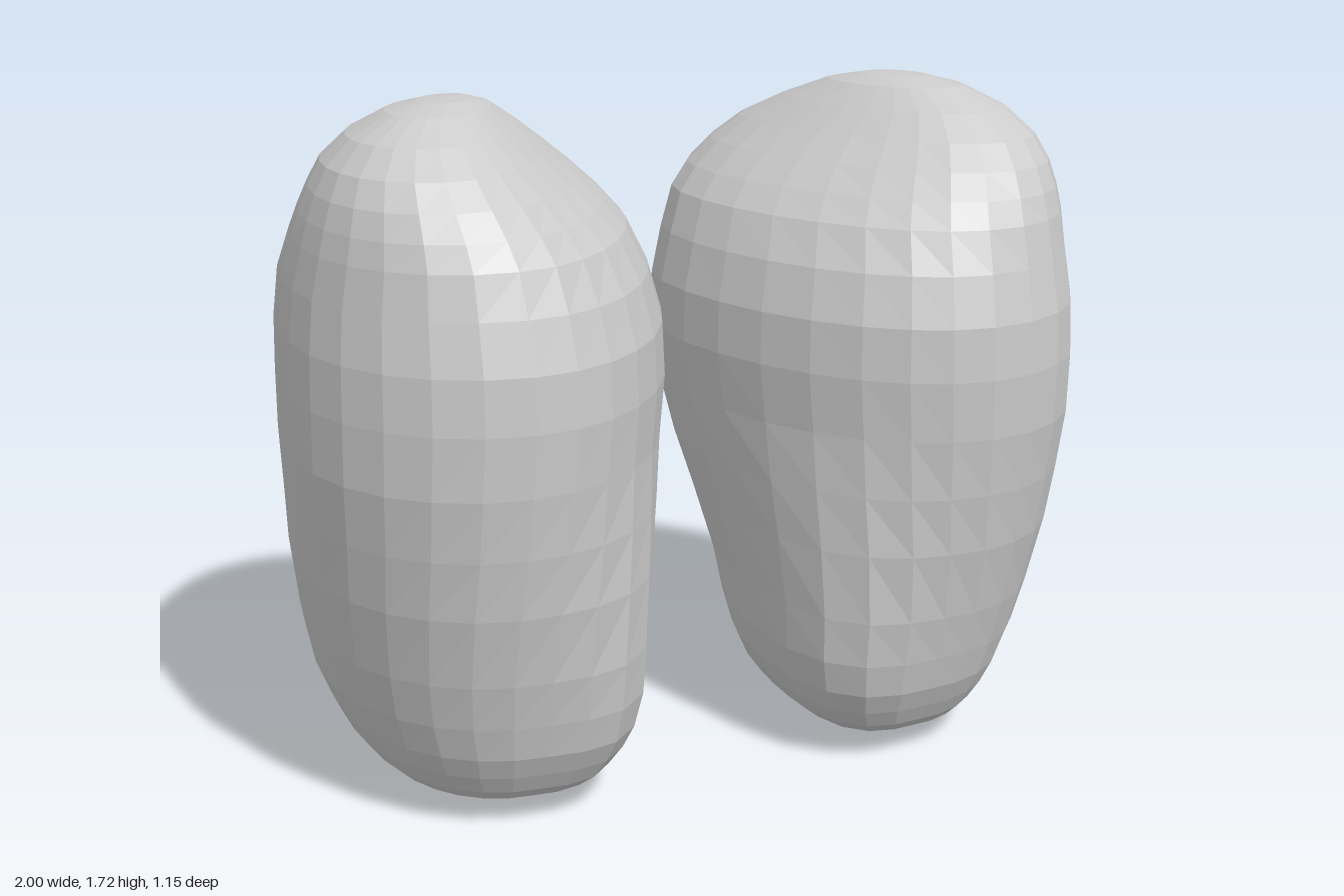
import * as THREE from 'three';

// Horizontal sections of one lobe: [height, inner x, outer x, back z, front z]
const SECTIONS = [
  [0.00, 0.52, 0.56, -0.02, 0.02],
  [0.015, 0.42, 0.67, -0.14, 0.16],
  [0.04, 0.36, 0.74, -0.24, 0.27],
  [0.068, 0.31, 0.79, -0.31, 0.33],
  [0.10, 0.27, 0.825, -0.365, 0.365],
  [0.15, 0.235, 0.865, -0.42, 0.395],
  [0.21, 0.21, 0.895, -0.46, 0.425],
  [0.30, 0.185, 0.93, -0.485, 0.45],
  [0.42, 0.165, 0.955, -0.505, 0.48],
  [0.60, 0.12, 0.98, -0.53, 0.52],
  [0.75, 0.08, 0.99, -0.545, 0.545],
  [0.90, 0.05, 1.00, -0.56, 0.565],
  [1.05, 0.03, 1.00, -0.57, 0.575],
  [1.18, 0.035, 0.995, -0.575, 0.57],
  [1.30, 0.065, 0.98, -0.57, 0.54],
  [1.40, 0.105, 0.96, -0.555, 0.505],
  [1.46, 0.155, 0.945, -0.54, 0.47],
  [1.52, 0.22, 0.925, -0.505, 0.425],
  [1.58, 0.295, 0.895, -0.445, 0.365],
  [1.64, 0.38, 0.835, -0.32, 0.28],
  [1.69, 0.46, 0.74, -0.18, 0.17],
  [1.71, 0.52, 0.66, -0.08, 0.08],
];
const SIDES = 26;

// Lofts the sections into a closed, faceted lobe; side = 1 or -1 mirrors it
function lobeGeometry(side) {
  const pos = [];
  const index = [];
  for (const [y, inner, outer, back, front] of SECTIONS) {
    const cx = (inner + outer) / 2, hx = (outer - inner) / 2;
    const cz = (back + front) / 2, hz = (front - back) / 2;
    // the oval slants and narrows more with height, and is boxier low down
    const rise = THREE.MathUtils.smoothstep(y, 0.2, 1.0);
    const crown = THREE.MathUtils.smoothstep(y, 1.25, 1.62);
    const slant = -0.05 + 0.16 * rise + 0.18 * crown;
    for (let j = 0; j < SIDES; j++) {
      const a = (j / SIDES) * Math.PI * 2;
      const c = Math.cos(a), s = Math.sin(a);
      const taper = c < 0 ? 1 - 0.02 * rise - (0.04 + 0.16 * rise) * s : 1;
      const corner = Math.max(0, -Math.sin(2 * a)) ** 2;
      const fullness = (c > 0 ? 0.1 : 0.17 - 0.14 * rise) * (1 - crown);
      const r = 1 + fullness * corner;
      pos.push(side * (cx + hx * c * taper * r), y, cz + hz * Math.sin(a + slant) * r);
    }
  }
  const tri = (a, b, c) => (side > 0 ? index.push(a, b, c) : index.push(a, c, b));
  const rows = SECTIONS.length;
  for (let i = 0; i < rows - 1; i++) {
    for (let j = 0; j < SIDES; j++) {
      const k = (j + 1) % SIDES;
      const a = i * SIDES + j, b = a + SIDES, c = (i + 1) * SIDES + k, d = i * SIDES + k;
      tri(a, b, c);
      tri(a, c, d);
    }
  }
  // end caps
  const bottom = pos.length / 3, top = bottom + 1;
  pos.push(side * 0.54, 0, 0, side * 0.59, 1.715, 0);
  const last = (rows - 1) * SIDES;
  for (let j = 0; j < SIDES; j++) {
    const k = (j + 1) % SIDES;
    tri(bottom, j, k);
    tri(top, last + k, last + j);
  }
  const g = new THREE.BufferGeometry();
  g.setAttribute('position', new THREE.Float32BufferAttribute(pos, 3));
  g.setIndex(index);
  g.computeVertexNormals();
  return g;
}

export function createModel() {
  const group = new THREE.Group();
  group.name = 'pairedLobes';
  const material = new THREE.MeshStandardMaterial({ color: 0xcccccc, flatShading: true });
  for (const [name, side] of [['leftLobe', 1], ['rightLobe', -1]]) {
    const mesh = new THREE.Mesh(lobeGeometry(side), material);
    mesh.name = name;
    group.add(mesh);
  }
  return group;
}
